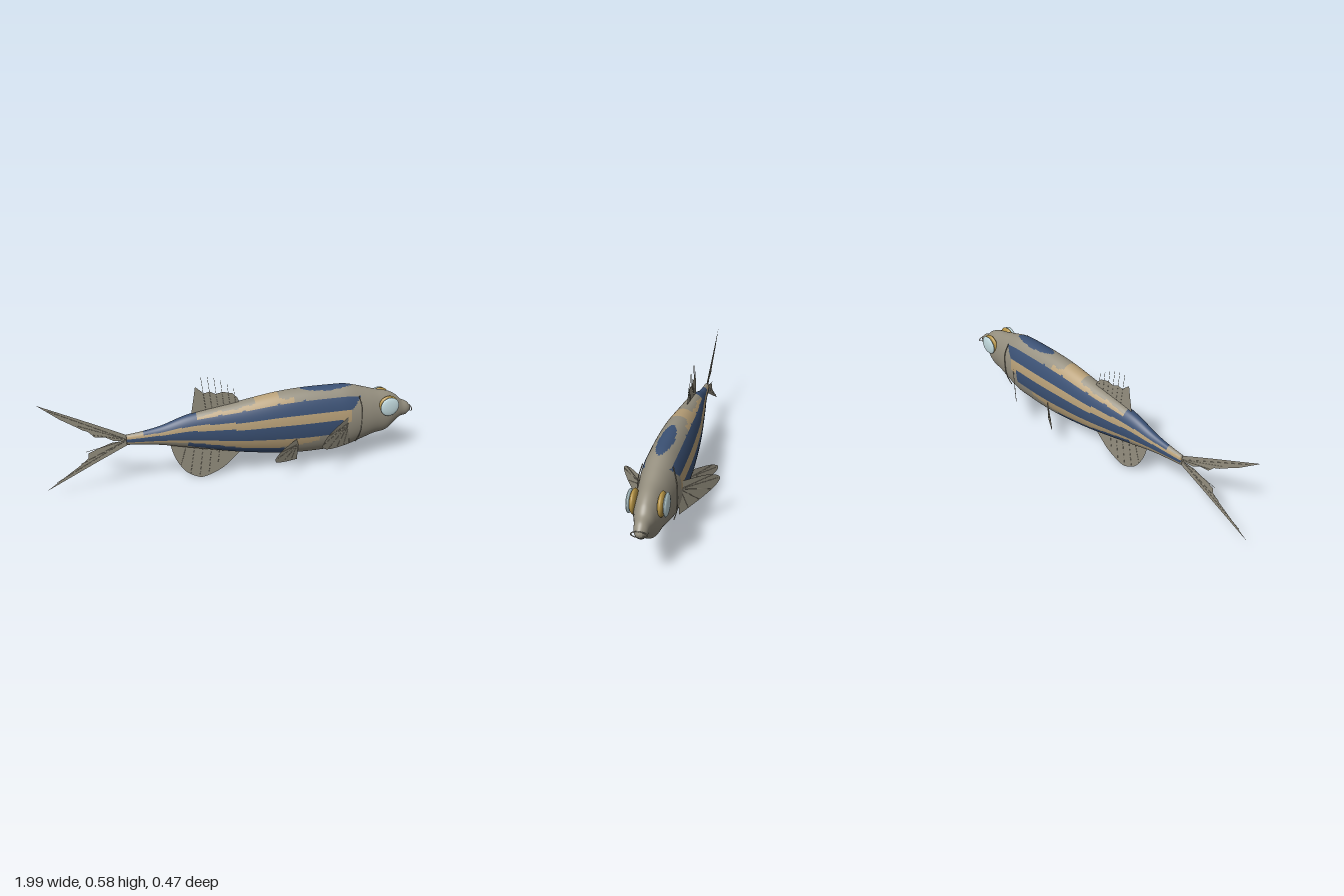
import * as THREE from 'three';

const mat = (name, color, side = THREE.FrontSide) => {
  const m = new THREE.MeshStandardMaterial({ color, side });
  m.name = name;
  return m;
};
const V = (x, y, z = 0) => new THREE.Vector3(x, y, z);
const clamp = THREE.MathUtils.clamp;

// x, top, bottom, half width along the body
const STATIONS = [
  [-0.585, 0.305, 0.25, 0.016], [-0.5, 0.315, 0.24, 0.022], [-0.4, 0.335, 0.225, 0.032],
  [-0.25, 0.382, 0.19, 0.052], [0, 0.42, 0.135, 0.08], [0.2, 0.45, 0.102, 0.094],
  [0.35, 0.46, 0.088, 0.099], [0.5, 0.46, 0.088, 0.099], [0.6, 0.455, 0.094, 0.096],
  [0.7, 0.428, 0.125, 0.083], [0.77, 0.407, 0.147, 0.072], [0.84, 0.39, 0.16, 0.062],
  [0.89, 0.364, 0.202, 0.047], [0.925, 0.332, 0.23, 0.036], [0.96, 0.315, 0.237, 0.029], [0.985, 0.29, 0.258, 0.014],
];

// Colour zones of the skin: 0 plain, 1 tan band, 2 blue stripe; v is the height from belly 0 to back 1
function skinZone(x, v, z) {
  const wob = 0.012 * Math.sin(x * 41) + 0.008 * Math.sin(x * 97);
  const lift = clamp(-x, 0, 0.6) * 0.18;
  const low = clamp(-x, 0, 0.3) * 0.3;
  // oval patch on the back
  if (((x - 0.48) / 0.145) ** 2 + (z / 0.036) ** 2 < 1 && v > 0.8) return 2;
  // upper, middle and lower stripes
  const upperEnd = x < -0.22 ? 1.01 : 0.875 + wob * 0.5;
  if (v > 0.7 + lift && v < upperEnd && x > -0.5 && x < 0.56 + (v - 0.5) * 0.26) return 2;
  if (v > 0.34 && v < 0.565 + lift * 0.8 && x < 0.55) return 2;
  if (v > 0.03 + low && v < 0.17 + low && x > -0.28 && x < 0.24 + wob) return 2;
  // tan between them
  if (v >= 0.5 && v < 0.8 + lift && x < 0.6 + wob) return 1;
  if (v > 0.15 + low + clamp(x - 0.15, 0, 1) * 0.4 && v < 0.4 && x < 0.45 + wob) return 1;
  if (v >= 0.86 && v < 0.94 + wob && x > -0.22 && x < 0.3 + wob) return 1;
  if (v >= 0.9 && x > 0.09 + wob && x < 0.2 + wob) return 1;
  return 0;
}

function bodyGeometry() {
  const N = 180, M = 112, pos = [], zones = [[], [], []];
  const spine = new THREE.CatmullRomCurve3(STATIONS.map(s => V(s[0], s[1], s[2])), false, 'catmullrom');
  const girth = new THREE.CatmullRomCurve3(STATIONS.map(s => V(s[0], s[3])), false, 'catmullrom');
  for (let i = 0; i <= N; i++) {
    const t = clamp((i - 1) / (N - 2), 0, 1);
    const p = spine.getPoint(t), w = girth.getPoint(t).y;
    const k = i === 0 || i === N ? 0.001 : 1; // closed ends
    for (let j = 0; j < M; j++) {
      const a = j / M * Math.PI * 2;
      pos.push(p.x + (i === N ? 0.004 : 0), (p.y + p.z) / 2 + k * (p.y - p.z) / 2 * Math.sin(a), k * w * Math.cos(a));
    }
  }
  for (let i = 0; i < N; i++) for (let j = 0; j < M; j++) {
    const j2 = (j + 1) % M, a = i * M + j, b = a + M, c = (i + 1) * M + j2, d = i * M + j2;
    const x = (pos[a * 3] + pos[b * 3]) / 2, z = (pos[a * 3 + 2] + pos[c * 3 + 2]) / 2;
    const v = (1 + Math.sin((j + 0.5) / M * Math.PI * 2)) / 2;
    zones[skinZone(x, v, z)].push(a, b, c, a, c, d);
  }
  const g = new THREE.BufferGeometry();
  g.setAttribute('position', new THREE.Float32BufferAttribute(pos, 3));
  g.setIndex(zones.flat());
  let start = 0;
  zones.forEach((z, i) => { g.addGroup(start, z.length, i); start += z.length; });
  g.computeVertexNormals();
  return g;
}

export function createModel() {
  const root = new THREE.Group();
  root.name = 'fish';
  const skin = mat('skin', 0x969080, THREE.DoubleSide), tan = mat('tanBand', 0xb8a078), blue = mat('blueStripe', 0x3b5174);
  const gold = mat('eyeRim', 0xb29144), pale = mat('eyeLens', 0xc4dce0);

  const add = (name, geo, material, parent = root) => {
    const m = new THREE.Mesh(geo, material);
    m.name = name;
    parent.add(m);
    return m;
  };
  const rod = (name, a, b, r = 0.0012) => add(name, new THREE.TubeGeometry(new THREE.LineCurve3(a, b), 1, r, 5), skin);
  const flat = pts => new THREE.ShapeGeometry(new THREE.Shape(pts.map(p => new THREE.Vector2(p[0], p[1]))));
  // fin outline with a smooth free edge through the points
  const rounded = pts => {
    const s = new THREE.Shape();
    s.moveTo(...pts[0]);
    s.splineThru(pts.slice(1).map(p => new THREE.Vector2(...p)));
    return new THREE.ShapeGeometry(s, 6);
  };

  add('body', bodyGeometry(), [skin, tan, blue]);

  // Forked tail
  add('upperTailLobe', flat([[-0.575, 0.3], [-0.75, 0.39], [-1, 0.515], [-0.9, 0.43], [-0.82, 0.375],
    [-0.8, 0.36], [-0.77, 0.345], [-0.74, 0.31], [-0.69, 0.305], [-0.65, 0.28], [-0.575, 0.27]]), skin);
  add('lowerTailLobe', flat([[-0.575, 0.275], [-0.66, 0.27], [-0.72, 0.25], [-0.78, 0.225], [-0.78, 0.2],
    [-0.82, 0.165], [-0.9, 0.11], [-1, 0.04], [-0.75, 0.165], [-0.575, 0.25]]), skin);
  for (const [x, y] of [[-0.95, 0.48], [-0.82, 0.385], [-0.75, 0.325], [-0.79, 0.235], [-0.82, 0.17], [-0.95, 0.08]])
    rod('tailRay', V(-0.58, 0.277), V(x, y));

  // Back fin with free ray tips
  add('dorsalFin', flat([[-0.25, 0.37], [-0.235, 0.46], [-0.225, 0.528], [-0.18, 0.488], [-0.15, 0.495],
    [-0.12, 0.478], [-0.08, 0.485], [-0.03, 0.472], [-0.005, 0.445], [0.01, 0.41]]), skin);
  for (let i = 0; i < 6; i++)
    rod('dorsalRay', V(-0.17 + i * 0.032, 0.39), V(-0.195 + i * 0.034, 0.578 - i * i * 0.003), 0.001);

  // Rounded fin under the belly
  add('analFin', rounded([[-0.365, 0.23], [-0.34, 0.14], [-0.29, 0.055], [-0.23, 0.012], [-0.18, 0.004],
    [-0.09, 0.04], [-0.03, 0.09], [0.02, 0.14]]), skin);
  for (let i = 0; i < 6; i++)
    rod('analRay', V(-0.28 + i * 0.045, 0.2 - i * 0.008), V(-0.31 + i * 0.05, 0.09 - 0.018 * i * (4.2 - i)));

  // Mouth ring
  const lips = add('lips', new THREE.TorusGeometry(0.034, 0.003, 8, 32), skin);
  lips.rotation.y = Math.PI / 2;
  lips.scale.y = 0.42;
  lips.position.set(0.984, 0.275, 0);

  // Paired fin: outline given as (z, y), swept back as it leaves the flank
  const pairedFin = (name, s, outline, x0, slope, hub, tips) => {
    const g = rounded(outline), p = g.attributes.position;
    const place = (z, y) => V(x0 - slope * z, y, s * z);
    for (let i = 0; i < p.count; i++) p.setXYZ(i, ...place(p.getX(i), p.getY(i)).toArray());
    g.computeVertexNormals();
    add(name, g, skin);
    for (const t of tips) rod(name + 'Ray', place(...hub), place(...t));
  };

  for (const s of [1, -1]) {
    const side = s > 0 ? 'left' : 'right';
    pairedFin(side + 'PectoralFin', s, [[0.085, 0.31], [0.13, 0.298], [0.18, 0.282], [0.218, 0.258], [0.236, 0.23],
      [0.225, 0.207], [0.2, 0.187], [0.15, 0.163], [0.083, 0.14]], 0.717, 1.41, [0.088, 0.27],
      [[0.205, 0.265], [0.228, 0.235], [0.2, 0.195], [0.155, 0.17], [0.115, 0.157]]);
    pairedFin(side + 'PelvicFin', s, [[0.08, 0.213], [0.12, 0.203], [0.16, 0.188], [0.183, 0.17], [0.19, 0.155],
      [0.18, 0.135], [0.14, 0.112], [0.087, 0.088]], 0.433, 1.5, [0.088, 0.175],
      [[0.165, 0.182], [0.182, 0.158], [0.15, 0.122], [0.115, 0.105]]);

    // Bulging eye: golden rim and pale lens
    const eye = new THREE.Group();
    eye.name = side + 'Eye';
    eye.position.set(0.825, 0.33, 0);
    root.add(eye);
    const disc = (name, r, depth, z, m) => {
      const d = add(name, new THREE.SphereGeometry(r, 32, 20), m, eye);
      d.scale.z = depth / r;
      d.position.z = s * z;
    };
    disc('eyeRim', 0.056, 0.018, 0.06, gold);
    disc('eyeLens', 0.053, 0.012, 0.08, pale);

    // Gill edge
    const gill = new THREE.CatmullRomCurve3([V(0.645, 0.41, s * 0.069), V(0.66, 0.35, s * 0.086),
      V(0.664, 0.275, s * 0.09), V(0.66, 0.2, s * 0.086), V(0.645, 0.14, s * 0.069)]);
    add(side + 'GillEdge', new THREE.TubeGeometry(gill, 24, 0.0025, 6), skin);
  }
  return root;
}
